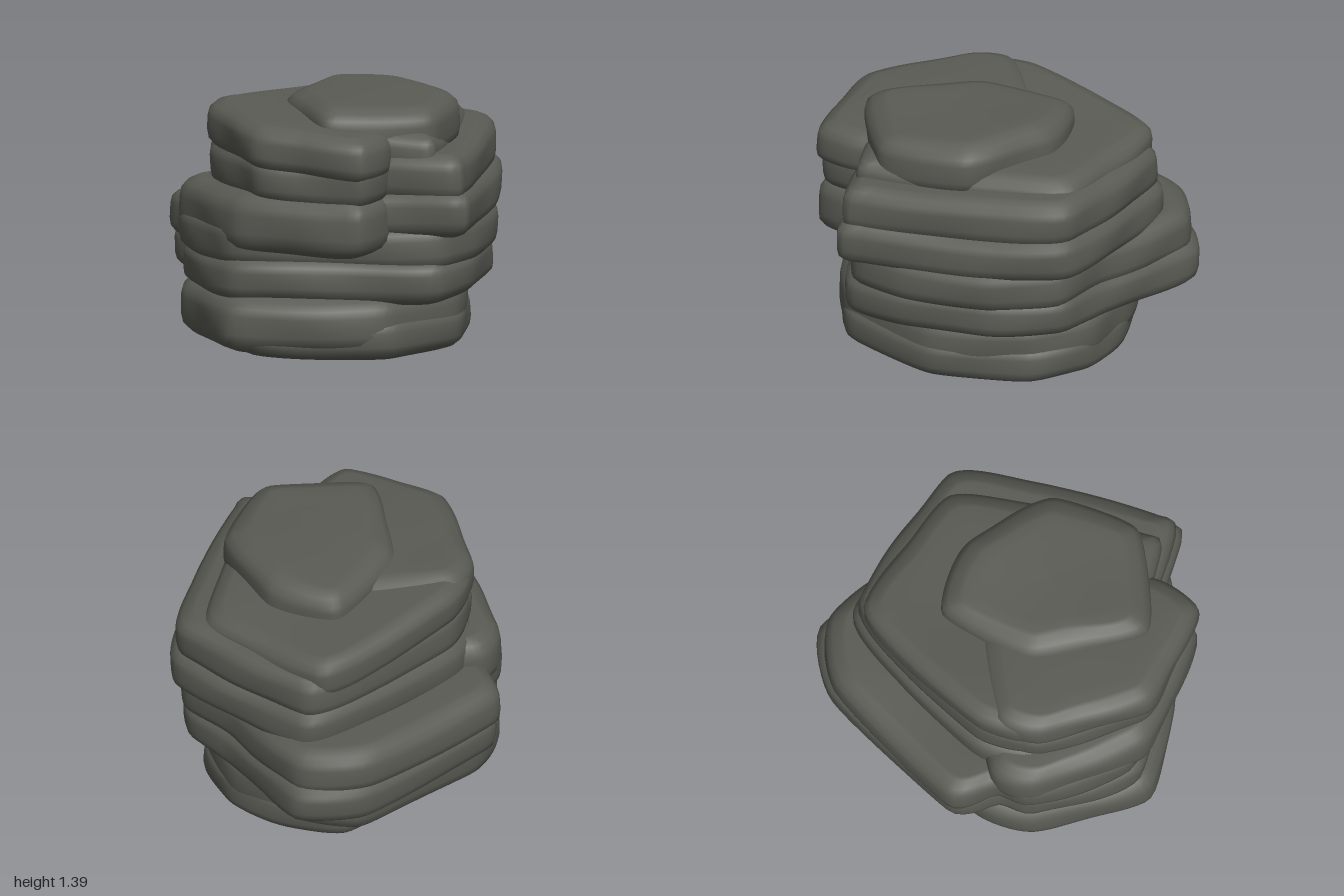
import * as THREE from 'three';

const SEGMENTS = 112;
const EDGE_STEPS = 10;

// Shared outlines as [x, z] corners, clockwise from the back
const BASE = [[0.08, -0.66], [0.45, -0.55], [0.69, -0.25], [0.71, 0.32], [0.42, 0.81], [0.05, 0.92],
  [-0.45, 0.91], [-0.77, 0.35], [-0.75, 0], [-0.3, -0.63]];
const LEDGE = [[-0.03, -1], [0.45, -0.63], [0.76, -0.44], [0.88, -0.05], [0.84, 0.45], [0.7, 0.75],
  [0.4, 0.81], [-0.45, 0.86], [-0.79, 0.35], [-0.78, 0.15], [-0.89, -0.1], [-0.41, -0.86]];
const UPPER = [[-0.03, -0.82], [0.78, -0.5], [0.86, 0], [0.82, 0.68], [0.74, 0.79],
  [-0.35, 0.7], [-0.64, 0.3], [-0.63, 0], [-0.36, -0.47]];
const PRONG = [[0.38, 0.1], [0.41, 0.76], [0.28, 1], [-0.1, 0.95], [-0.42, 0.87],
  [-0.78, 0.35], [-0.74, 0.1], [-0.2, -0.1]];
const CAP = [[-0.08, -0.33], [0.33, -0.29], [0.69, 0.1], [0.62, 0.6], [0.06, 0.77], [-0.23, 0.2]];

// Rings from the bottom centre, up the rounded edge, to the top centre
function makeRings(bevel) {
  const flat = [0, 0.3, 0.55, 0.8];
  const edge = Array.from({ length: EDGE_STEPS + 1 }, (_, k) => {
    const t = 0.5 - 0.5 * Math.cos(Math.PI * k / EDGE_STEPS);
    return { scale: 1, inset: bevel * 2.8 * Math.abs(2 * t - 1) ** 5, t };
  });
  const disc = (t) => flat.map((scale) => ({ scale, inset: bevel * 2.8, t }));
  return [...disc(0), ...edge, ...disc(1).reverse()];
}

// One weathered layer, its outline scaled by sx, sz and moved by dx; tx and tz tilt it
function makeLayer(spec, phase, material) {
  const { name, outline, y0, y1, sx = 1, sz = 1, dx = 0, tx = 0, tz = 0, bevel = 0.038 } = spec;
  const curve = new THREE.CatmullRomCurve3(
    outline.map(([x, z]) => new THREE.Vector3(x * sx + dx, 0, z * sz)), true, 'catmullrom', 0.28);
  const rim = curve.getSpacedPoints(SEGMENTS).slice(0, SEGMENTS);
  const centre = new THREE.Vector3();
  rim.forEach((p) => centre.addScaledVector(p, 1 / SEGMENTS));

  const positions = [], index = [];
  const rings = makeRings(bevel);
  rings.forEach(({ scale, inset, t }, j) => {
    rim.forEach((p, i) => {
      const d = p.clone().sub(centre);
      // Gentle chipping along the edge
      const chip = 0.006 * (1 + Math.sin(p.x * 9 + p.z * 7 + phase * 2 + t * 3));
      d.setLength(scale * (d.length() - inset - chip));
      const x = centre.x + d.x, z = centre.z + d.z;
      const wave = 0.01 * Math.sin(x * 5 + y1 * 4) * Math.cos(z * 4 - y1 * 4);
      positions.push(x, y0 + (y1 - y0) * t + tx * x + tz * z + wave, z);
      if (j < rings.length - 1) {
        const n = (i + 1) % SEGMENTS, a = j * SEGMENTS, b = a + SEGMENTS;
        index.push(a + i, b + i, a + n, a + n, b + i, b + n);
      }
    });
  });
  const geometry = new THREE.BufferGeometry();
  geometry.setAttribute('position', new THREE.Float32BufferAttribute(positions, 3));
  geometry.setIndex(index);
  geometry.computeVertexNormals();
  const mesh = new THREE.Mesh(geometry, material);
  mesh.name = name;
  return mesh;
}

const LAYERS = [
  { name: 'foot', outline: BASE, y0: 0.02, y1: 0.26, sx: 0.93, sz: 0.98, dx: 0.06, tx: -0.02, tz: 0.02 },
  { name: 'baseLayer', outline: BASE, y0: 0.06, y1: 0.38, bevel: 0.05 },
  { name: 'lowerLedge', outline: LEDGE, y0: 0.33, y1: 0.58, sx: 0.97 },
  { name: 'middleLedge', outline: LEDGE, y0: 0.5, y1: 0.77, sz: 0.96 },
  { name: 'upperLedge', outline: UPPER, y0: 0.69, y1: 0.95, sx: 1.02 },
  { name: 'shoulder', outline: UPPER, y0: 0.88, y1: 1.15, sx: 0.98, sz: 0.97 },
  { name: 'crown', outline: UPPER, y0: 1.02, y1: 1.26, sx: 0.88, sz: 0.92, dx: -0.07, tx: -0.06, tz: 0.04 },
  { name: 'frontBlock', outline: PRONG, y0: 0.61, y1: 0.93, tx: 0.03 },
  { name: 'frontShelf', outline: PRONG, y0: 0.87, y1: 1.13, sx: 0.86, sz: 0.97, dx: 0.05 },
  { name: 'frontCrown', outline: PRONG, y0: 1.05, y1: 1.3, sx: 0.87, dx: 0.05, tx: -0.06, tz: -0.02 },
  { name: 'cap', outline: CAP, y0: 1.08, y1: 1.38, bevel: 0.045 },
];

export function createModel() {
  const stone = new THREE.MeshStandardMaterial({ color: 0x5a5b54 });
  stone.name = 'dark stone';
  const rock = new THREE.Group();
  rock.name = 'layeredRock';
  LAYERS.forEach((spec, i) => rock.add(makeLayer(spec, i * 1.1, stone)));
  return rock;
}
